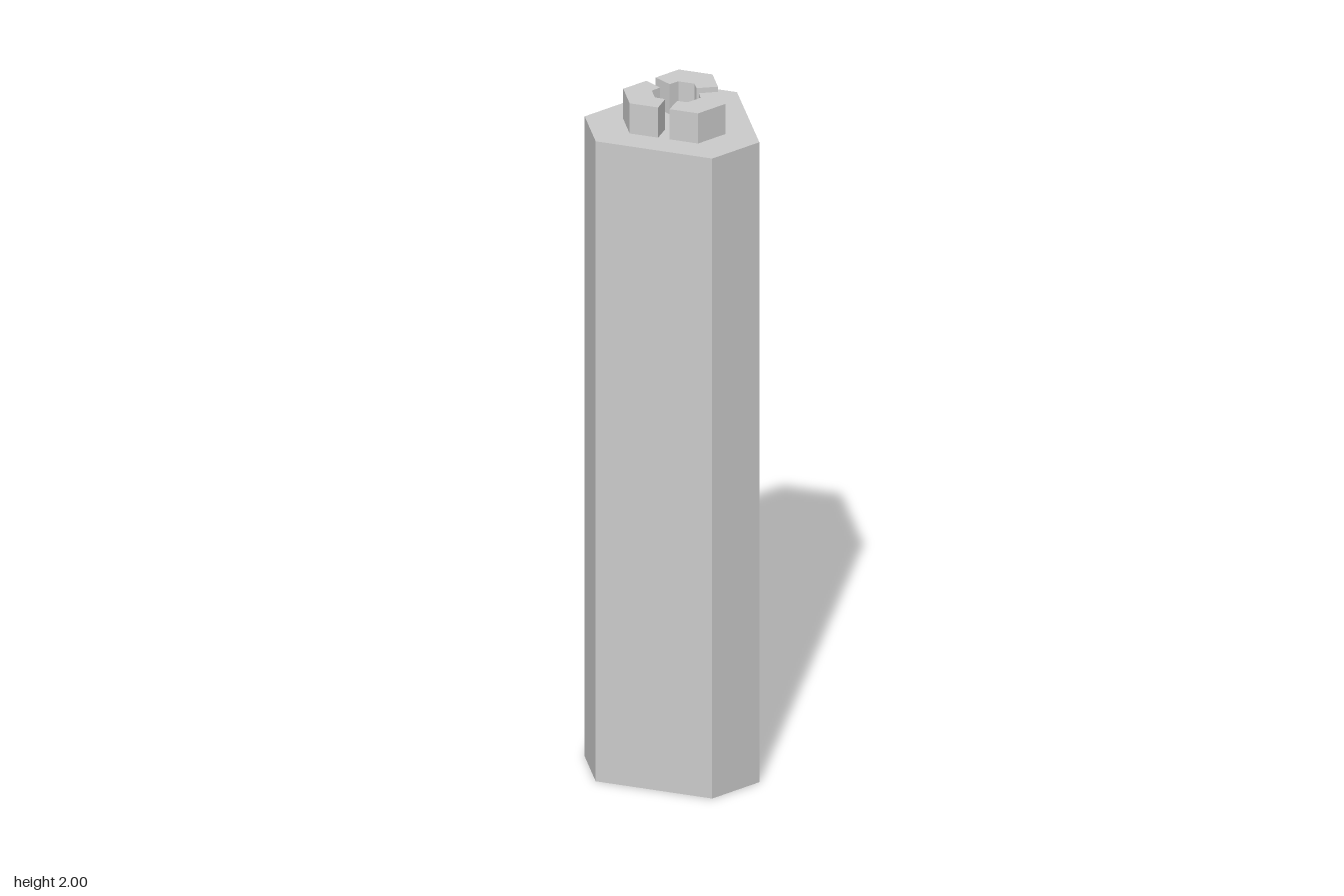
import * as THREE from 'three';

const BODY_TOP = 1.91, TOP = 2, AXIS_X = -0.0245;
const material = new THREE.MeshStandardMaterial({ color: 0xcccccc, flatShading: true, side: THREE.DoubleSide });

const mesh = (geometry, name) => {
  const m = new THREE.Mesh(geometry, material);
  m.name = name;
  return m;
};

// Outline of one half, mirrored across the x axis into a closed counter-clockwise loop
const mirrored = (half) => [...half.map(([x, y]) => new THREE.Vector2(x, y)),
  ...half.slice().reverse().map(([x, y]) => new THREE.Vector2(x, -y))];

// Open-ended upright walls following an outline
function wallGeometry(outline, height) {
  const pos = [];
  outline.forEach((a, i) => {
    const b = outline[(i + 1) % outline.length];
    pos.push(a.x, 0, -a.y, b.x, 0, -b.y, b.x, height, -b.y);
    pos.push(a.x, 0, -a.y, b.x, height, -b.y, a.x, height, -a.y);
  });
  const g = new THREE.BufferGeometry();
  g.setAttribute('position', new THREE.Float32BufferAttribute(pos, 3));
  g.computeVertexNormals();
  return g;
}

export function createModel() {
  const model = new THREE.Group();
  model.name = 'post';
  const core = new THREE.Group();
  core.name = 'threefoldCore';
  core.position.x = AXIS_X;
  model.add(core);

  // Hollow shaft: triangle with cut corners, open underneath
  const outline = mirrored([[0.2435, 0.084], [-0.049, 0.252], [-0.1945, 0.168]]);
  core.add(mesh(wallGeometry(outline, BODY_TOP), 'shaftWalls'));
  const cap = mesh(new THREE.ShapeGeometry(new THREE.Shape(outline)).rotateX(-Math.PI / 2), 'shaftTop');
  cap.position.y = BODY_TOP;
  core.add(cap);

  // Three bracket-shaped prongs around the axis
  const prong = new THREE.Shape(mirrored([[0.1425, 0.049], [0.071, 0.09], [0.0425, 0.039], [0.068, 0.023]]));
  const prongGeometry = new THREE.ExtrudeGeometry(prong, { depth: TOP - BODY_TOP, bevelEnabled: false })
    .rotateX(-Math.PI / 2);
  for (let i = 0; i < 3; i++) {
    const p = mesh(prongGeometry, `prong${i + 1}`);
    p.position.y = BODY_TOP;
    p.rotation.y = (i * Math.PI * 2) / 3;
    core.add(p);
  }
  return model;
}
